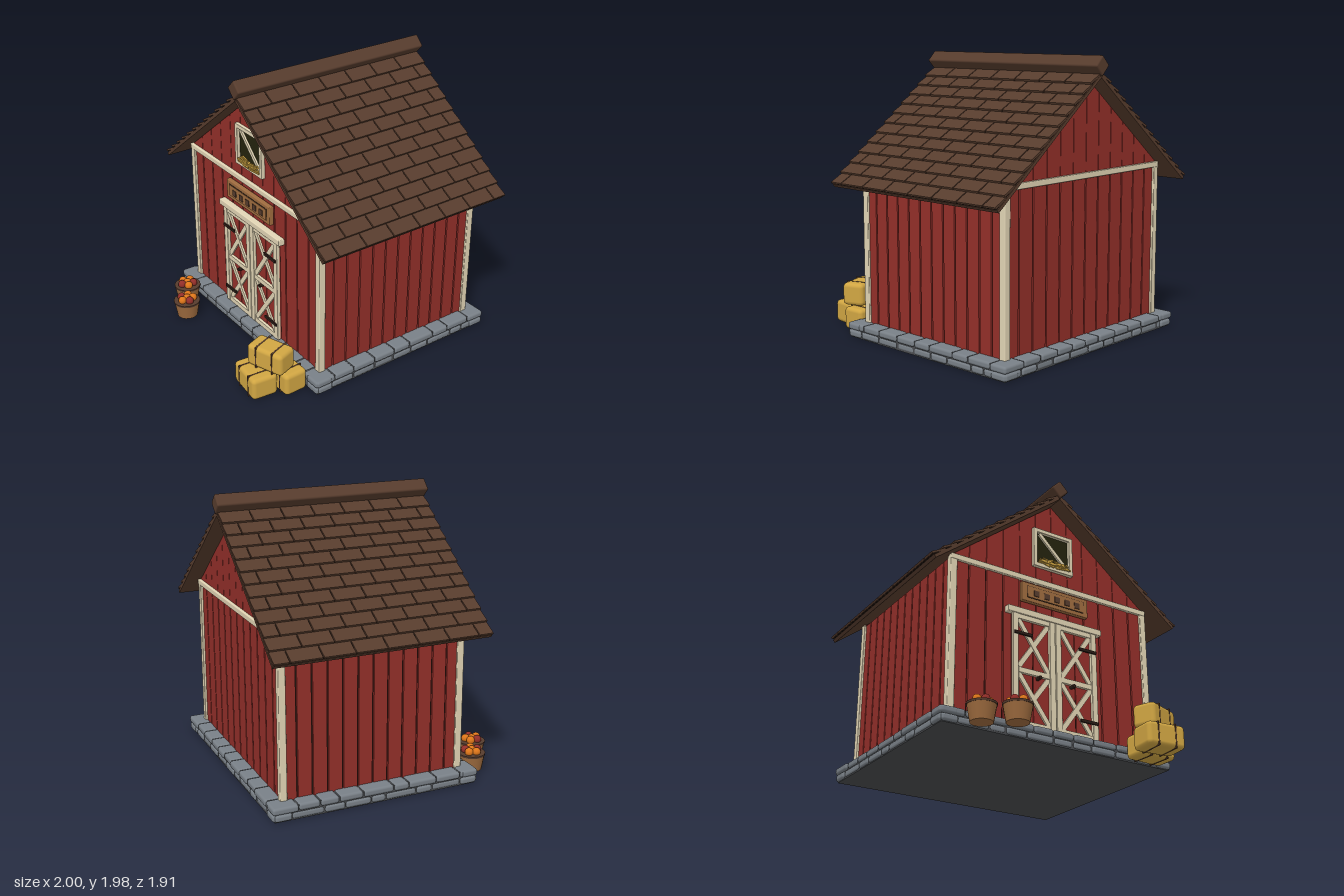
import * as THREE from 'three';
import { mergeGeometries } from 'three/addons/utils/BufferGeometryUtils.js';
import { RoundedBoxGeometry } from 'three/addons/geometries/RoundedBoxGeometry.js';

const mat = (name, color) => Object.assign(new THREE.MeshStandardMaterial({ color }), { name });
const red = mat('barn red', 0x932f29), cream = mat('cream trim', 0xe2d5b5), brown = mat('shingle brown', 0x573c2d),
  dark = mat('dark gap', 0x2a1c15), stone = mat('stone grey', 0x798087), slab = mat('slab grey', 0x4a4c4f),
  straw = mat('straw', 0xd1a643), wood = mat('wood', 0x9f6c3f), orange = mat('orange', 0xde761a),
  shade = mat('window shade', 0x24230d);

let seed = 7;
const rnd = () => (seed = (seed * 16807) % 2147483647) / 2147483647;

const box = (w, h, d, x = 0, y = 0, z = 0) => new THREE.BoxGeometry(w, h, d).translate(x, y, z);
const soft = (w, h, d, r, x = 0, y = 0, z = 0) => new RoundedBoxGeometry(w, h, d, 2, r).translate(x, y, z);

// flat bar running between two points in the xy plane
const bar = (x1, y1, x2, y2, w, d, z) => box(Math.hypot(x2 - x1, y2 - y1), w, d)
  .rotateZ(Math.atan2(y2 - y1, x2 - x1)).translate((x1 + x2) / 2, (y1 + y2) / 2, z);

function add(parent, name, material, geos) {
  const flat = geos.map((g) => (g.index ? g.toNonIndexed() : g));
  const mesh = new THREE.Mesh(mergeGeometries(flat), material);
  mesh.name = name;
  parent.add(mesh);
}

function prism(points, depth, z) {
  const shape = new THREE.Shape(points.map((p) => new THREE.Vector2(...p)));
  return new THREE.ExtrudeGeometry(shape, { depth, bevelEnabled: false }).translate(0, 0, z);
}

// two courses of stones around a slab
function foundation(parent) {
  add(parent, 'foundationSlab', slab, [box(1.76, 0.096, 1.47, 0, 0.048, 0)]);
  const stones = [];
  for (let side = 0; side < 4; side++) {
    const long = side % 2 === 0, len = long ? 1.8 : 1.51, out = long ? 0.755 : 0.9;
    for (let row = 0; row < 2; row++) {
      const n = long ? 11 : 9;
      const cuts = Array.from({ length: n + 1 }, (_, i) =>
        (i / n - 0.5) * len + (i > 0 && i < n ? (rnd() - 0.5) * 0.07 : 0));
      for (let i = 0; i < n; i++) {
        const w = cuts[i + 1] - cuts[i] - 0.004, o = out - rnd() * 0.012 - (row ? 0 : 0.006);
        stones.push(soft(w, 0.049, 0.12, 0.018, (cuts[i] + cuts[i + 1]) / 2, 0.03 + row * 0.05, o - 0.06)
          .rotateY(side * Math.PI / 2));
      }
    }
  }
  add(parent, 'foundationStones', stone, stones);
}

// dark core with separate red boards on every wall
function walls(parent) {
  const boards = [], gable = [], N = 12;
  const roofY = (x) => 1.825 - Math.abs(x) * 0.784;
  for (let i = 0; i < N; i++) {
    const w = 1.58 / N, x = -0.79 + (i + 0.5) * w, d = 1.3 / N, z = -0.65 + (i + 0.5) * d;
    const a = x - w / 2 + 0.002, b = x + w / 2 - 0.002;
    for (const s of [-1, 1]) {
      boards.push(box(w - 0.011, 1.1, 0.02, x, 0.645, s * 0.64));
      boards.push(box(0.02, 1.1, d - 0.011, s * 0.78, 0.645, z));
      gable.push(prism([[a, 1.19], [b, 1.19], [b, roofY(b)], [a, roofY(a)]], 0.02, s * 0.64 - 0.01));
    }
  }
  add(parent, 'wallCore', dark, [box(1.55, 1.1, 1.27, 0, 0.645, 0)]);
  add(parent, 'gableCore', dark, [-1, 1].map((s) =>
    prism([[-0.78, 1.19], [0.78, 1.19], [0, 1.81]], 0.01, s * 0.635 - 0.005)));
  add(parent, 'wallBoards', red, boards);
  add(parent, 'gableBoards', red, gable);
  const trim = [];
  for (const s of [-1, 1]) {
    for (const t of [-1, 1]) trim.push(soft(0.05, 1.1, 0.05, 0.006, s * 0.78, 0.645, t * 0.642));
    trim.push(soft(1.61, 0.04, 0.04, 0.006, 0, 1.187, s * 0.65));
  }
  add(parent, 'wallTrim', cream, trim);
}

// sloping slab carrying overlapping staggered shingles, repeated on both sides
function roof(parent) {
  const rows = 12, length = 1.232, pitch = length / rows, depth = 1.54, tile = depth / 7;
  for (const turn of [0, Math.PI]) {
    const side = new THREE.Group(), slope = new THREE.Group();
    side.name = 'roofSide';
    slope.name = 'roofSlope';
    side.rotation.y = turn;
    slope.position.y = 1.83;
    slope.rotation.z = -Math.atan2(0.76, 0.97);
    const shingles = [], gaps = [box(length - 0.006, 0.009, depth - 0.02, length / 2, 0.0225, 0)];
    for (let r = 0; r < rows; r++) {
      const odd = r % 2;
      for (let i = 0; i < 7 + odd; i++) {
        const z0 = Math.max(0, (i - odd / 2) * tile), z1 = Math.min(depth, (i + 1 - odd / 2) * tile);
        shingles.push(box(pitch + 0.008, 0.014, z1 - z0 - 0.008).rotateZ(0.17)
          .translate((r + 0.5) * pitch, 0.032, (z0 + z1) / 2 - depth / 2));
      }
      // dark line beneath the lower edge of each course
      gaps.push(box(0.012, 0.007, depth - 0.02, (r + 1) * pitch - 0.006, 0.0315, 0));
    }
    add(slope, 'roofBoard', brown, [box(length, 0.022, depth - 0.004, length / 2, 0.011, 0)]);
    add(slope, 'shingleGaps', dark, gaps);
    add(slope, 'shingles', brown, shingles);
    side.add(slope);
    parent.add(side);
  }
  add(parent, 'ridgeBeam', brown, [soft(0.1, 0.1, 1.56, 0.012).rotateZ(Math.PI / 4).translate(0, 1.908, 0)]);
}

// double door with crossed braces, hinges and knobs
function doors(parent) {
  const panels = [], frame = [], hardware = [];
  for (const s of [-1, 1]) {
    for (const x of [0.085, 0.253]) panels.push(box(0.161, 0.78, 0.008, s * x, 0.5, 0.658));
    for (const x of [0.0245, 0.316]) frame.push(soft(0.045, 0.79, 0.026, 0.005, s * x, 0.505, 0.674));
    for (const y of [0.128, 0.493, 0.877]) frame.push(box(0.27, 0.036, 0.022, s * 0.17, y, 0.672));
    for (const [y0, y1] of [[0.145, 0.475], [0.511, 0.86]]) {
      frame.push(bar(s * 0.05, y0, s * 0.29, y1, 0.034, 0.014, 0.67));
      frame.push(bar(s * 0.05, y1, s * 0.29, y0, 0.034, 0.012, 0.668));
    }
    for (const y of [0.235, 0.75]) hardware.push(box(0.14, 0.02, 0.012, s * 0.26, y, 0.691));
    hardware.push(new THREE.CylinderGeometry(0.013, 0.013, 0.045, 10).rotateX(Math.PI / 2)
      .translate(s * 0.135, 0.463, 0.68));
  }
  add(parent, 'doorGaps', dark, [box(0.66, 0.78, 0.004, 0, 0.5, 0.653)]);
  add(parent, 'doorPanels', red, panels);
  add(parent, 'doorFrames', cream, frame);
  add(parent, 'doorHardware', dark, hardware);
  add(parent, 'doorHeader', cream, [soft(0.76, 0.045, 0.05, 0.006, 0, 0.914, 0.67)]);
}

// plain signboard with a raised border and small square pegs
function signboard(parent) {
  add(parent, 'signBoard', wood, [soft(0.54, 0.14, 0.035, 0.006, 0, 1.07, 0.675)]);
  add(parent, 'signGroove', dark, [box(0.468, 0.088, 0.004, 0, 1.07, 0.693)]);
  add(parent, 'signPanel', wood, [box(0.46, 0.08, 0.008, 0, 1.07, 0.694)]);
  add(parent, 'signPegs', brown, [-2, -1, 0, 1, 2].map((i) =>
    box(0.042, 0.042, 0.008, i * 0.083 + 0.008, 1.066, 0.699)));
}

// loft opening with frame, brace and loose straw
function loft(parent) {
  add(parent, 'loftOpening', shade, [box(0.28, 0.26, 0.006, 0, 1.45, 0.654)]);
  add(parent, 'loftFrame', cream, [
    ...[-1, 1].map((s) => soft(0.03, 0.3, 0.03, 0.004, s * 0.148, 1.45, 0.665)),
    ...[-1, 1].map((s) => soft(0.32, 0.03, 0.028, 0.004, 0, 1.45 + s * 0.135, 0.665)),
    bar(-0.11, 1.565, 0.115, 1.35, 0.026, 0.014, 0.665),
  ]);
  const strands = [];
  for (let i = 0; i < 34; i++) {
    strands.push(box(0.07 + rnd() * 0.06, 0.009, 0.009).rotateZ((rnd() - 0.5) * 0.6)
      .translate((rnd() - 0.5) * 0.17, 1.328 + rnd() * 0.034, 0.665 + rnd() * 0.025));
  }
  add(parent, 'looseStraw', straw, strands);
}

function bale(parent, x, y, z, turn, w, d) {
  const g = new THREE.Group();
  g.name = 'strawBale';
  g.position.set(x, y, z);
  g.rotation.y = turn;
  add(g, 'baleBody', straw, [soft(w, 0.162, d, 0.03)]);
  add(g, 'baleStraps', brown, [-1, 1].map((s) => soft(0.012, 0.167, d + 0.005, 0.005, s * w * 0.23)));
  parent.add(g);
}

function basket(parent, x, z, turn) {
  const g = new THREE.Group();
  g.name = 'fruitBasket';
  g.position.set(x, 0, z);
  g.rotation.y = turn;
  add(g, 'basketBody', wood, [new THREE.CylinderGeometry(0.094, 0.074, 0.112, 18).translate(0, 0.056, 0)]);
  add(g, 'basketRim', brown, [new THREE.CylinderGeometry(0.098, 0.096, 0.014, 18).translate(0, 0.115, 0)]);
  const fruit = [[], []];
  for (let i = 0; i < 6; i++) {
    const a = i * Math.PI * 0.4, r = i < 5 ? 0.045 : 0;
    fruit[i === 1 || i === 3 ? 1 : 0].push(new THREE.SphereGeometry(0.03, 14, 10)
      .translate(r * Math.cos(a), 0.138, r * Math.sin(a)));
  }
  add(g, 'oranges', orange, fruit[0]);
  add(g, 'apples', red, fruit[1]);
  parent.add(g);
}

export function createModel() {
  const model = new THREE.Group();
  model.name = 'barn';
  const building = new THREE.Group();
  building.name = 'building';
  building.position.z = -0.175;
  for (const part of [foundation, walls, roof, doors, signboard, loft]) part(building);
  model.add(building);
  bale(model, 0.643, 0.082, 0.665, 0.03, 0.285, 0.175);
  bale(model, 0.567, 0.082, 0.845, -0.1, 0.285, 0.19);
  bale(model, 0.612, 0.247, 0.753, 0.35, 0.285, 0.165);
  basket(model, -0.662, 0.665, 2.2);
  basket(model, -0.475, 0.777, 1.2);
  return model;
}
